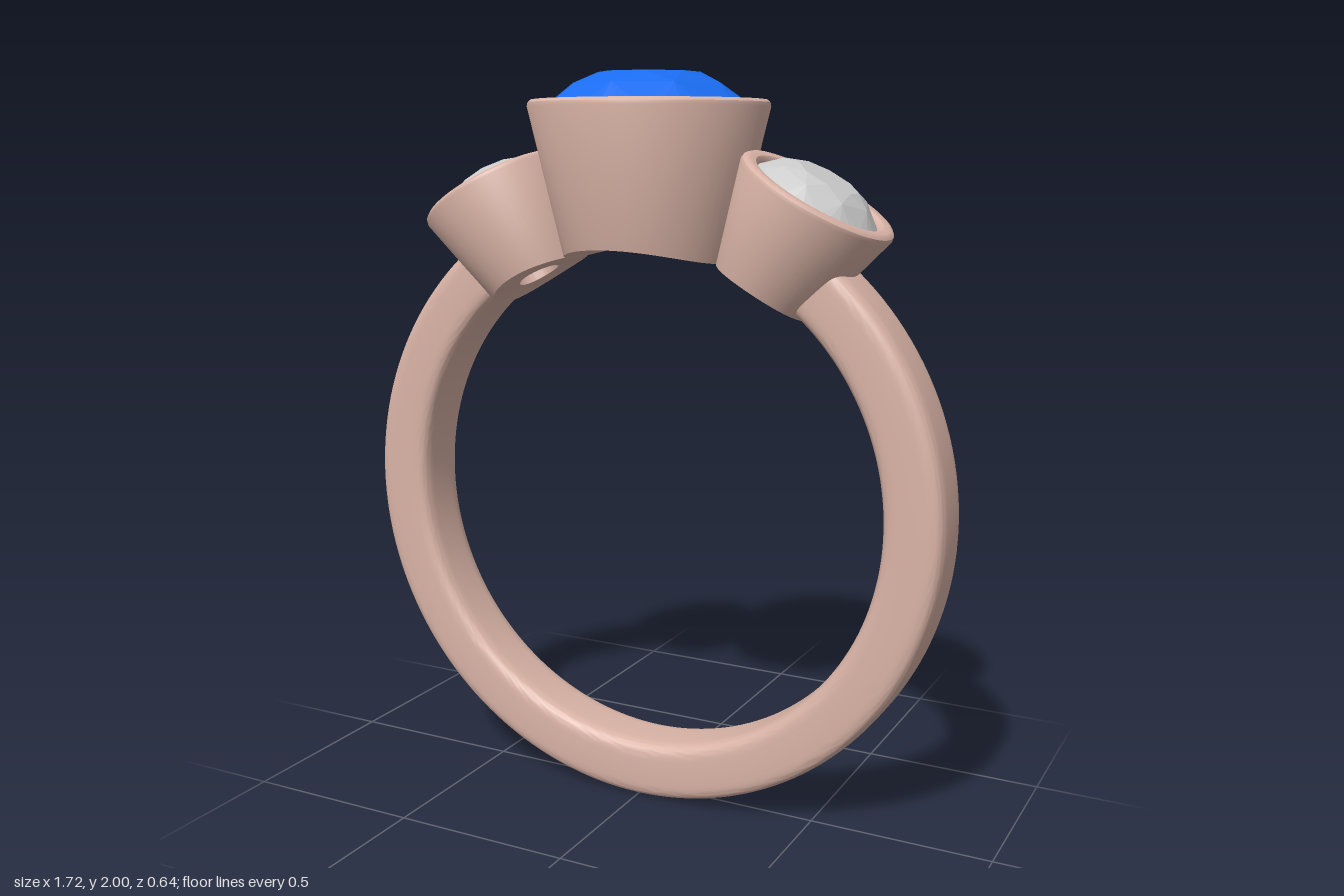
import * as THREE from 'three';
import { toCreasedNormals } from 'three/addons/utils/BufferGeometryUtils.js';
import { ConvexGeometry } from 'three/addons/geometries/ConvexGeometry.js';

const CENTRE_Y = 0.86; // centre of the finger hole
const INNER = 0.695, OUTER = 0.858, HALF_WIDTH = 0.09;
const CUT = 0.692; // radius at which the settings are hollowed for the finger
const SIDE_TILT = Math.PI / 6;

const metal = new THREE.MeshStandardMaterial({ color: 0xd9b3a6 });
const blue = new THREE.MeshStandardMaterial({ color: 0x1a6cf0 });
const clear = new THREE.MeshStandardMaterial({ color: 0xcccccc });

function mesh(name, geometry, material) {
  const m = new THREE.Mesh(geometry, material);
  m.name = name;
  return m;
}

// Open band: a soft-cornered section swept round, its ends hidden in the side settings
function bandGeometry() {
  const n = 48, pts = [];
  const soft = (v) => Math.sign(v) * Math.pow(Math.abs(v), 0.4);
  for (let i = 0; i <= n; i++) {
    const t = (i % n) / n * Math.PI * 2;
    pts.push(new THREE.Vector2(
      (INNER + OUTER) / 2 + (OUTER - INNER) / 2 * soft(Math.cos(t)),
      HALF_WIDTH * soft(Math.sin(t))));
  }
  const half = Math.PI - THREE.MathUtils.degToRad(39);
  const g = new THREE.LatheGeometry(pts, 128, -half, 2 * half);
  g.rotateX(Math.PI / 2);
  return toCreasedNormals(g, 0.9);
}

// Tapered cup with a rounded rim, a drilled base and an underside curved to the finger
function settingGeometry({ top, rim, base, lip, hole, seat }) {
  const pts = [];
  for (let i = 0; i <= 5; i++) pts.push([hole + (base - hole) * i / 5, CUT]);
  pts.push([rim, top - 0.018], [rim - 0.002, top - 0.008], [rim - 0.01, top - 0.001]);
  pts.push([rim - 0.018, top], [lip + 0.012, top - 0.002], [lip + 0.003, top - 0.01]);
  pts.push([lip, top - 0.02], [lip, top - 0.045], [hole, seat], [hole, CUT]);
  const g = new THREE.LatheGeometry(pts.map((p) => new THREE.Vector2(...p)), 72);
  const pos = g.attributes.position;
  const slope = (rim - base) / (top - CUT);
  for (let i = 0; i < pos.count; i++) {
    if (pos.getY(i) > CUT + 1e-4) continue;
    const x = pos.getX(i), z = pos.getZ(i), r = Math.hypot(x, z);
    const y = Math.sqrt(CUT * CUT - x * x);
    // keep the lowered outer edge on the tapered wall
    const k = r > base - 1e-4 ? 1 - slope * (CUT - y) / r : 1;
    pos.setXYZ(i, x * k, y, z * k);
  }
  return toCreasedNormals(g, 0.6);
}

// Faceted round stone: table, crown, girdle and pavilion; rings are [radius, height, count, turn]
function stoneGeometry(rings, culet) {
  const pts = [new THREE.Vector3(0, culet, 0)];
  for (const [r, y, count, turn] of rings) {
    for (let i = 0; i < count; i++) {
      const a = (i + turn) / count * Math.PI * 2;
      pts.push(new THREE.Vector3(r * Math.sin(a), y, r * Math.cos(a)));
    }
  }
  return new ConvexGeometry(pts);
}

export function createModel() {
  const ring = new THREE.Group();
  ring.name = 'ring';

  const band = mesh('band', bandGeometry(), metal);
  band.position.y = CENTRE_Y;
  ring.add(band);

  // Large middle setting
  const centre = new THREE.Group();
  centre.name = 'centreSetting';
  centre.position.y = CENTRE_Y;
  centre.add(
    mesh('centreBezel', settingGeometry(
      { top: 1.07, rim: 0.32, base: 0.235, lip: 0.272, hole: 0.11, seat: 0.8 }), metal),
    mesh('centreStone', stoneGeometry(
      [[0.135, 1.14, 8, 0.5], [0.205, 1.11, 8, 0], [0.273, 1.052, 32, 0]], 0.82), blue));
  ring.add(centre);

  // Pair of smaller settings leaning outward
  const bezel = settingGeometry(
    { top: 0.968, rim: 0.217, base: 0.148, lip: 0.17, hole: 0.06, seat: 0.77 });
  const stone = stoneGeometry(
    [[0.085, 1.01, 8, 0.5], [0.128, 0.992, 8, 0], [0.171, 0.952, 32, 0]], 0.8);
  for (const [side, s] of [['left', 1], ['right', -1]]) {
    const setting = new THREE.Group();
    setting.name = side + 'Setting';
    setting.position.y = CENTRE_Y;
    setting.rotation.z = -s * SIDE_TILT;
    setting.add(mesh(side + 'Bezel', bezel, metal), mesh(side + 'Stone', stone, clear));
    ring.add(setting);
  }
  return ring;
}
